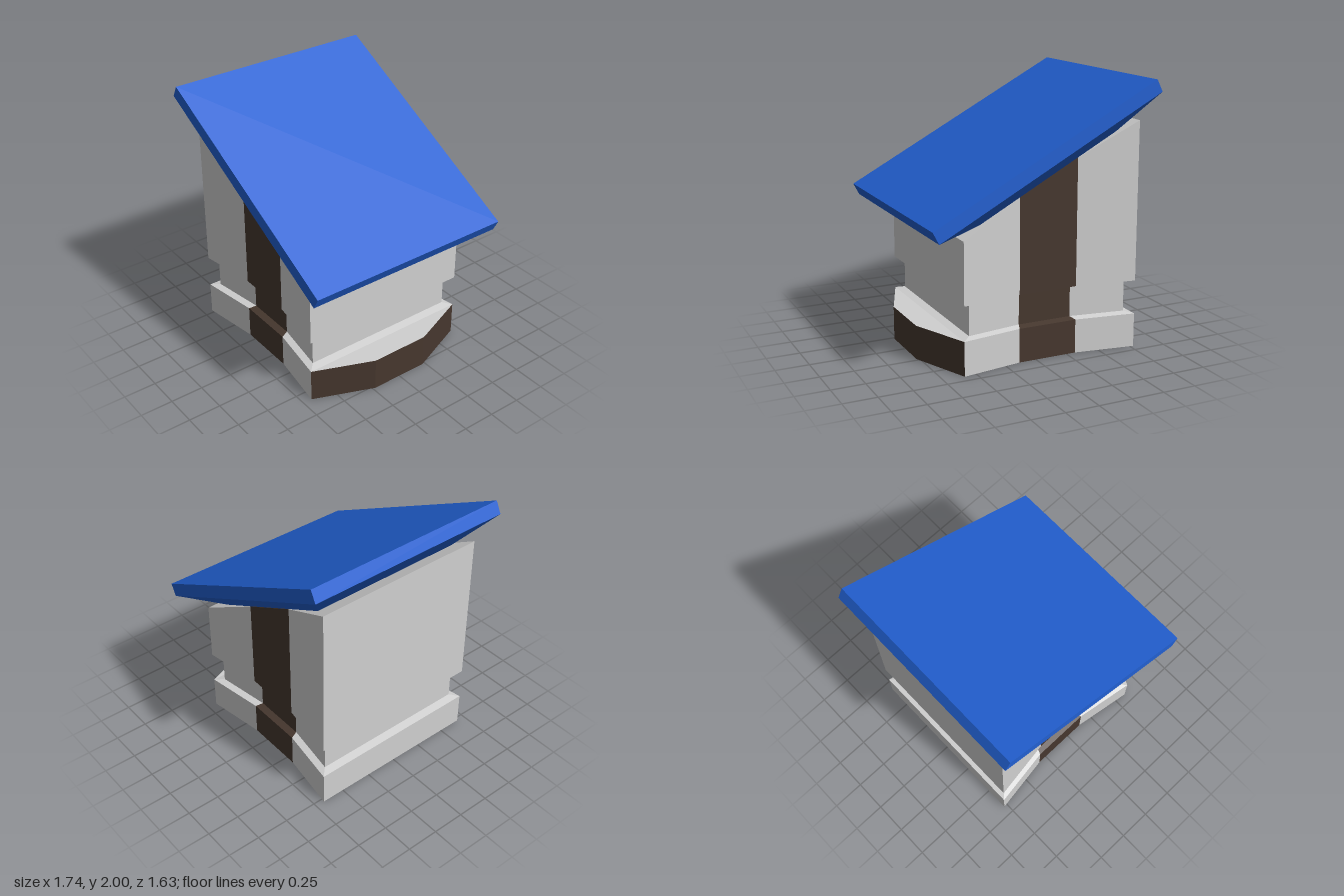
import * as THREE from 'three';

const material = (name, color) => {
  const m = new THREE.MeshStandardMaterial({ color });
  m.name = name;
  return m;
};

// Collects quads into one flat-faced mesh
function quadMesh(name, quads, mat) {
  const positions = [];
  for (const [a, b, c, d] of quads) positions.push(...a, ...b, ...c, ...a, ...c, ...d);
  const geometry = new THREE.BufferGeometry();
  geometry.setAttribute('position', new THREE.Float32BufferAttribute(positions, 3));
  geometry.computeVertexNormals();
  const mesh = new THREE.Mesh(geometry, mat);
  mesh.name = name;
  return mesh;
}

const sideQuad = (low, high, i) => {
  const j = (i + 1) % low.length;
  return [low[i], low[j], high[j], high[i]];
};

// Wall outline with shallow recessed bands at front and back, counter-clockwise from above
const centreX = -0.093;
const outline = [[-0.685, 0.68], [-0.227, 0.61], [0.227, 0.61], [0.685, 0.68],
  [0.685, -0.68], [0.227, -0.61], [-0.227, -0.61], [-0.685, -0.68]];
const wallRing = (scale, heightAt) => outline.map(([x, z]) => {
  const px = centreX + x * scale;
  return [px, heightAt(px), z * scale];
});
const slope = x => 1.284 - 0.533 * x;

export function createModel() {
  const group = new THREE.Group();
  const grey = material('light grey wall', 0xd0d0d0);
  const brown = material('dark brown trim', 0x46372e);
  const blue = material('blue roof', 0x2260d2);

  // Plinth, narrow neck and sloped upper body
  const rings = [
    wallRing(1, () => 0), wallRing(1, () => 0.255),
    wallRing(0.912, () => 0.268), wallRing(0.912, () => 0.5),
    wallRing(1, () => 0.51), wallRing(1, slope),
  ];
  const walls = [], bands = [];
  for (let r = 0; r < rings.length - 1; r++) {
    for (let i = 0; i < 8; i++) {
      (i === 1 || i === 5 ? bands : walls).push(sideQuad(rings[r], rings[r + 1], i));
    }
  }
  // Underside and sloped top, each in three strips
  const bottom = rings[0], top = rings[rings.length - 1];
  for (let i = 0; i < 3; i++) {
    const target = i === 1 ? bands : walls;
    target.push([bottom[7 - i], bottom[6 - i], bottom[i + 1], bottom[i]]);
    target.push([top[i], top[i + 1], top[6 - i], top[7 - i]]);
  }
  group.add(quadMesh('walls', walls, grey), quadMesh('verticalBands', bands, brown));

  // Faceted step bulging out of the low side
  const stepShape = new THREE.Shape([[0.592, -0.68], [0.773, -0.23], [0.773, 0.23], [0.592, 0.68]]
    .map(([x, y]) => new THREE.Vector2(x, y)));
  const stepGeometry = new THREE.ExtrudeGeometry(stepShape, { depth: 0.255, bevelEnabled: false });
  stepGeometry.rotateX(-Math.PI / 2);
  const step = new THREE.Mesh(stepGeometry, [grey, brown]);
  step.name = 'step';
  group.add(step);

  // Slanted roof slab with a tapered underside resting on the walls
  const roofRing = ([x0, y0], [x1, y1], z) => [[x0, y0, z], [x1, y1, z], [x1, y1, -z], [x0, y0, -z]];
  const roofRings = [
    roofRing([-0.63, slope(-0.63)], [0.44, slope(0.44)], 0.605),
    roofRing([-0.87, 1.912], [0.825, 1.01], 0.815),
    roofRing([-0.825, 2], [0.87, 1.097], 0.815),
  ];
  const roof = [[...roofRings[0]].reverse(), roofRings[2]];
  for (let r = 0; r < 2; r++) {
    for (let i = 0; i < 4; i++) roof.push(sideQuad(roofRings[r], roofRings[r + 1], i));
  }
  group.add(quadMesh('roof', roof, blue));

  return group;
}
